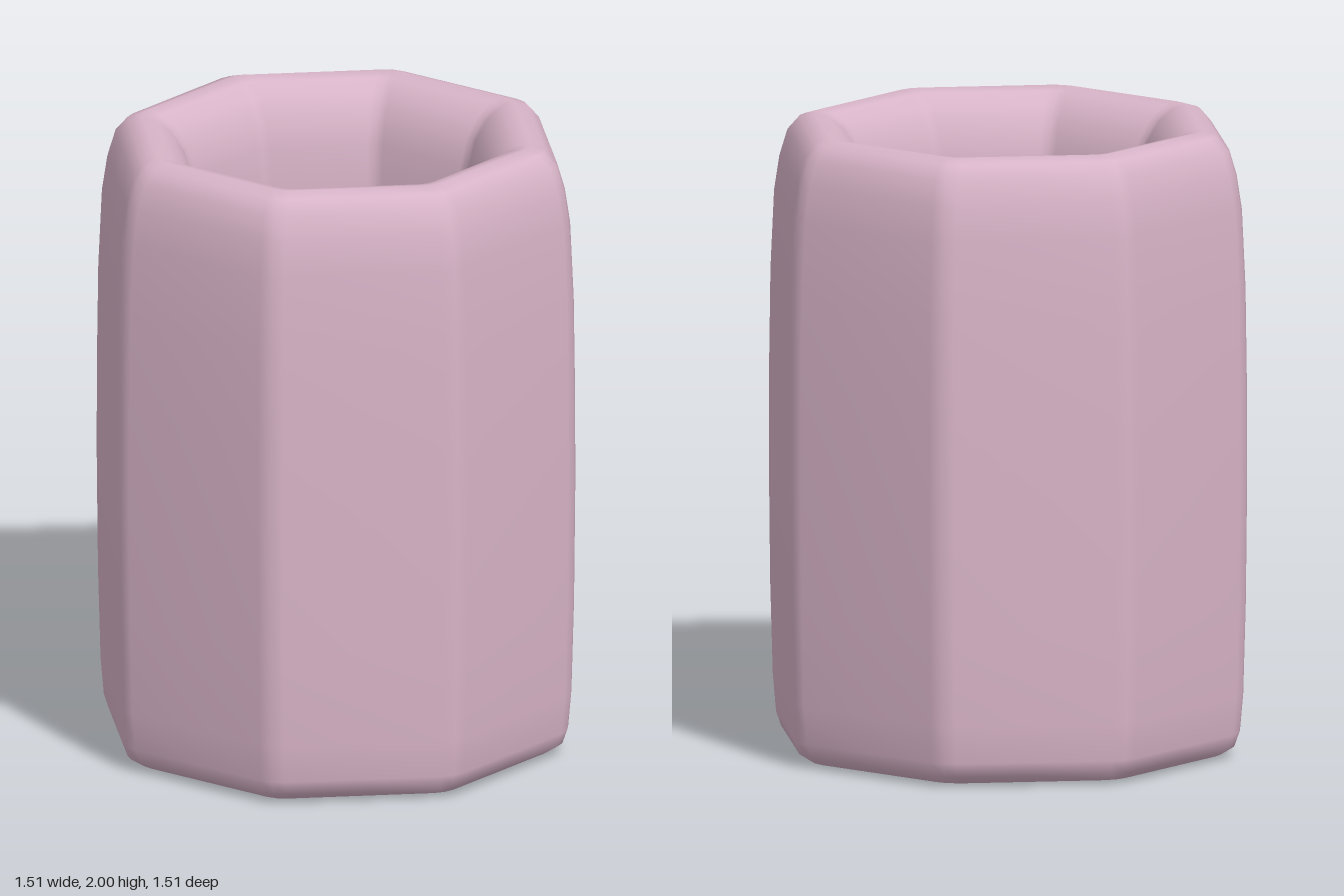
import * as THREE from 'three';
import { mergeVertices } from 'three/addons/utils/BufferGeometryUtils.js';

const SIDES = 8;
const TURN = THREE.MathUtils.degToRad(15.5); // direction of the first corner
const BLUNT = THREE.MathUtils.degToRad(3); // half width of a blunted corner

// Cross-section of one side: corner middle, corner end, face middle, next corner start
const step = (Math.PI * 2) / SIDES;
const offsets = [0, BLUNT, step / 2, step - BLUNT];
const radii = offsets.map((a, j) => (j === 0 ? 1.07 : 1 / Math.cos(a - step / 2)));

// Half profile [distance to the face, height]: base, outer wall, rounded rim, inner bowl
const profile = [
  [0, 0], [0.4, 0], [0.61, 0], [0.65, 0.008], [0.69, 0.035], [0.705, 0.08],
  [0.715, 0.2], [0.723, 0.5], [0.727, 0.9], [0.726, 1.2], [0.722, 1.5], [0.711, 1.75],
  [0.695, 1.86], [0.672, 1.94], [0.635, 1.985], [0.59, 2],
  [0.545, 1.99], [0.5, 1.955], [0.46, 1.89], [0.437, 1.8], [0.428, 1.65],
  [0.425, 1.3], [0.422, 0.9], [0.415, 0.6], [0.39, 0.42], [0.33, 0.31], [0.22, 0.26], [0, 0.25],
];

function octagonalLathe(points) {
  const count = SIDES * offsets.length;
  const lathe = new THREE.LatheGeometry(points.map(([r, y]) => new THREE.Vector2(r, y)), count);
  const pos = lathe.attributes.position;
  // Move every column of the round lathe onto the blunted octagon
  for (let i = 0; i < pos.count; i++) {
    const column = Math.floor(i / points.length) % count;
    const r = points[i % points.length][0];
    const j = column % offsets.length;
    const angle = TURN + Math.floor(column / offsets.length) * step + offsets[j];
    pos.setX(i, r * radii[j] * Math.sin(angle));
    pos.setZ(i, r * radii[j] * Math.cos(angle));
  }
  lathe.deleteAttribute('uv');
  lathe.deleteAttribute('normal');
  const geometry = mergeVertices(lathe);
  geometry.computeVertexNormals();
  return geometry;
}

export function createModel() {
  const group = new THREE.Group();
  group.name = 'octagonalCup';
  const material = new THREE.MeshStandardMaterial({ color: 0xd8b4c8 });
  const cup = new THREE.Mesh(octagonalLathe(profile), material);
  cup.name = 'cupBody';
  group.add(cup);
  return group;
}
